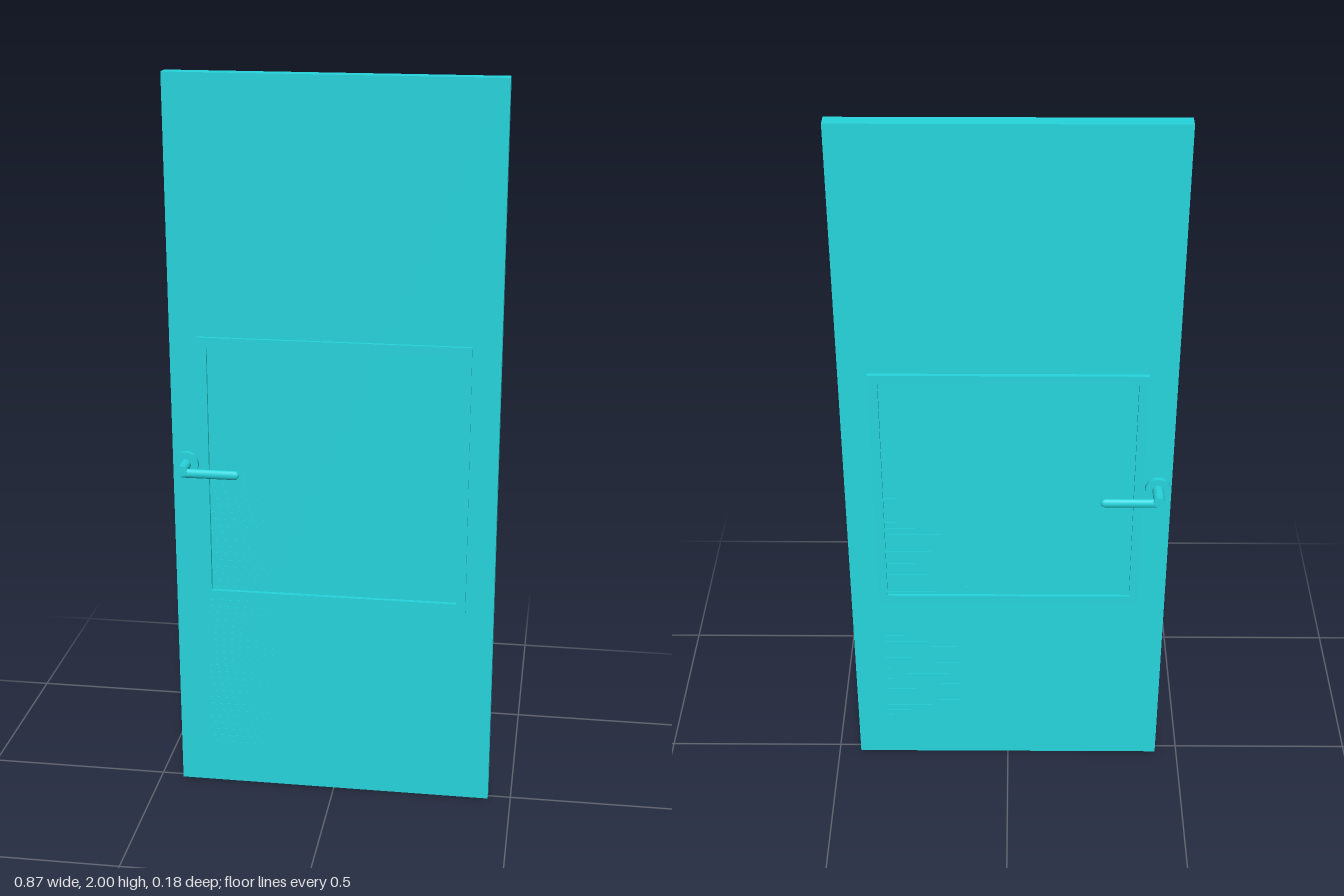
import * as THREE from 'three';

const material = new THREE.MeshStandardMaterial({ color: 0x26d6dd });

function add(parent, name, geometry, x = 0, y = 0, z = 0) {
  const mesh = new THREE.Mesh(geometry, material);
  mesh.name = name;
  mesh.position.set(x, y, z);
  parent.add(mesh);
  return mesh;
}

// Rectangular ring with a square opening, extruded towards +z
function frameGeometry(x0, x1, y0, y1, border, depth) {
  const rect = (Type, b) => new Type([
    new THREE.Vector2(x0 + b, y0 + b), new THREE.Vector2(x1 - b, y0 + b),
    new THREE.Vector2(x1 - b, y1 - b), new THREE.Vector2(x0 + b, y1 - b),
  ]);
  const shape = rect(THREE.Shape, 0);
  shape.holes.push(rect(THREE.Path, border));
  return new THREE.ExtrudeGeometry(shape, { depth, bevelEnabled: false });
}

// Lever handle for one side (side = 1 front, -1 back)
function createHandle(side) {
  const handle = new THREE.Group();
  handle.name = side > 0 ? 'frontHandle' : 'backHandle';
  handle.position.set(-0.4, 0.962, 0);

  const rose = add(handle, 'rose', new THREE.CylinderGeometry(0.034, 0.034, 0.018, 32), 0, 0, side * 0.024);
  rose.rotation.x = Math.PI / 2;

  const spindle = add(handle, 'spindle', new THREE.CylinderGeometry(0.015, 0.015, 0.072, 24), 0, 0, side * 0.054);
  spindle.rotation.x = Math.PI / 2;

  // Flattened grip with rounded ends
  const lever = add(handle, 'lever', new THREE.CapsuleGeometry(0.0125, 0.137, 8, 20), 0.074, -0.008, side * 0.08);
  lever.rotation.z = Math.PI / 2;
  lever.scale.z = 0.68;
  return handle;
}

export function createModel() {
  const door = new THREE.Group();
  door.name = 'door';

  // Door leaf, leaning very slightly forward
  const leaf = new THREE.Group();
  leaf.name = 'leaf';
  leaf.position.y = 1;
  leaf.rotation.x = 0.004;
  door.add(leaf);
  add(leaf, 'slab', new THREE.BoxGeometry(0.874, 2, 0.04));

  // Fine vent slats, turned a little so they break the surface at opposite ends
  const slatGeometry = new THREE.BoxGeometry(0.7, 0.008, 0.0392);
  for (let i = 0; i <= 40; i++) {
    const slat = add(leaf, 'ventSlat', slatGeometry, 0, -0.88 + i * 0.02, 0);
    slat.rotation.y = 0.004;
  }

  // Raised frame and lever handle on each side
  const frame = frameGeometry(-0.363, 0.361, 0.57, 1.316, 0.026, 0.02);
  add(door, 'frontFrame', frame, 0, 0, 0.01);
  add(door, 'backFrame', frame, 0, 0, -0.03);
  door.add(createHandle(1), createHandle(-1));
  return door;
}
